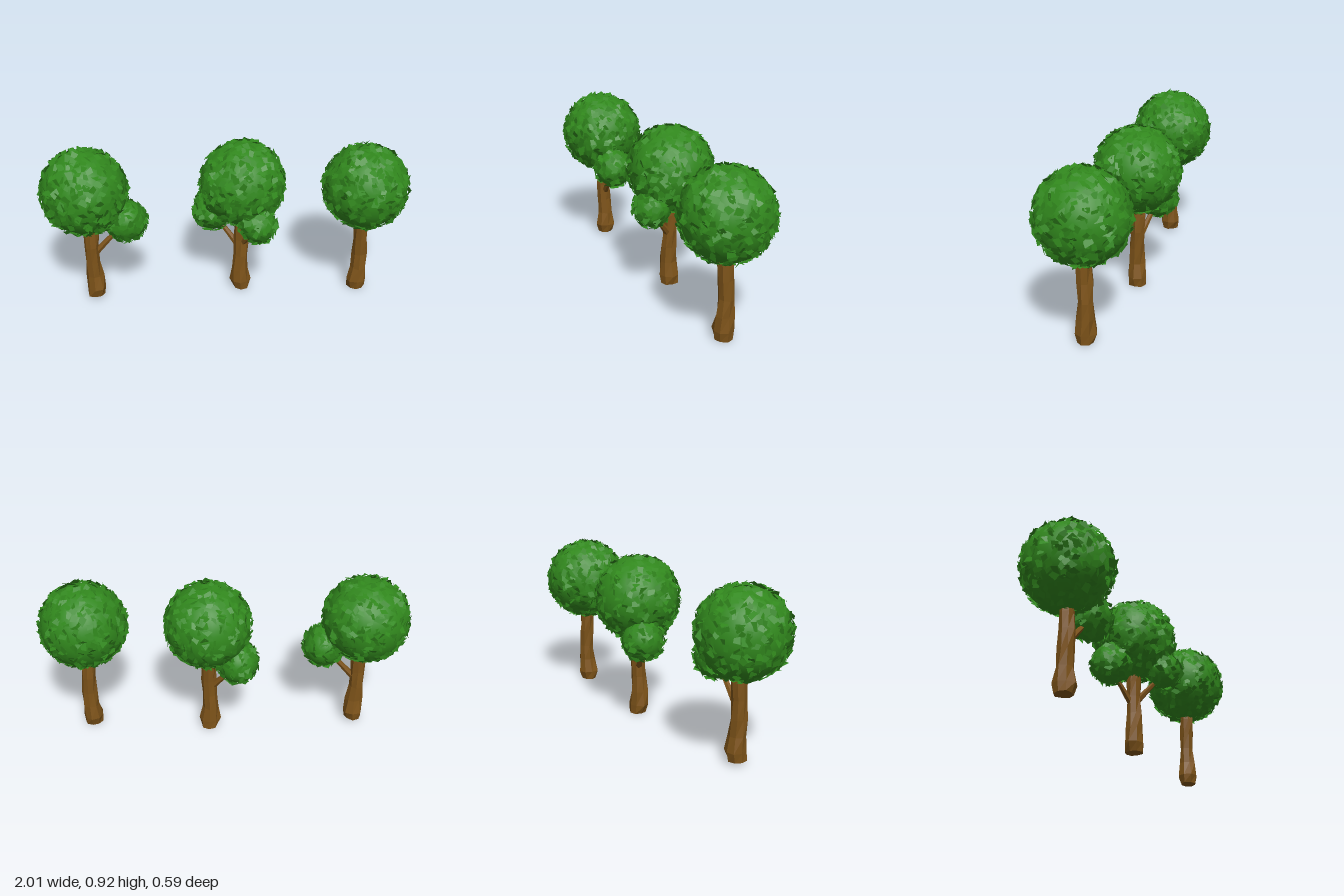
import * as THREE from 'three';
import { mergeGeometries } from 'three/addons/utils/BufferGeometryUtils.js';

const bark = new THREE.MeshStandardMaterial({ color: 0x7d5319, flatShading: true });
const green = new THREE.MeshStandardMaterial({ color: 0x31881d });
const leafGreen = new THREE.MeshStandardMaterial({ color: 0x31881d, flatShading: true, side: THREE.DoubleSide });

// Small seeded generator
function seeded(seed) {
  let s = seed;
  return () => (s = (s * 16807) % 2147483647) / 2147483647;
}

// Gnarled trunk: rings of a cylinder resized by a profile, then dented by a wave rule
function makeTrunk(base, seed) {
  const levels = [0, 0.05, 0.13, 0.22, 0.32, 0.41, 0.5];
  const radii = [0.047, 0.056, 0.046, 0.041, 0.04, 0.04, 0.036];
  const geo = new THREE.CylinderGeometry(1, 1, 6, 8, 6);
  const p = geo.attributes.position;
  for (let i = 0; i < p.count; i++) {
    const ring = Math.round(p.getY(i) + 3);
    const x = p.getX(i), z = p.getZ(i);
    const dent = 1 + 0.1 * Math.sin(3.1 * x + 5.3 * z + ring * 2.3 + seed);
    const r = radii[ring] * dent;
    const bend = 0.004 * Math.sin(ring * 1.3 + seed);
    p.setXYZ(i, x * r + bend, levels[ring], z * r - bend);
  }
  const mesh = new THREE.Mesh(geo, bark);
  mesh.name = 'trunk';
  mesh.position.set(...base);
  return mesh;
}

// Tapered branch between two points
function makeBranch(from, to) {
  const a = new THREE.Vector3(...from), b = new THREE.Vector3(...to);
  const dir = b.clone().sub(a);
  const geo = new THREE.CylinderGeometry(0.011, 0.02, dir.length(), 6, 2);
  const mesh = new THREE.Mesh(geo, bark);
  mesh.name = 'branch';
  mesh.position.copy(a).lerp(b, 0.5);
  mesh.quaternion.setFromUnitVectors(new THREE.Vector3(0, 1, 0), dir.normalize());
  return mesh;
}

// Irregular four-cornered leaf
function leafGeometry() {
  const s = new THREE.Shape();
  s.moveTo(-0.023, -0.013);
  s.lineTo(0.017, -0.018);
  s.lineTo(0.024, 0.016);
  s.lineTo(-0.014, 0.012);
  s.closePath();
  return new THREE.ShapeGeometry(s);
}

// Smooth ball covered with tilted leaves spread on a spiral
function makeFoliage(name, centre, radius, seed) {
  const group = new THREE.Group();
  group.name = name;
  group.position.set(...centre);
  const core = new THREE.Mesh(new THREE.SphereGeometry(radius, 32, 24), green);
  core.name = 'foliageCore';

  const rand = seeded(seed);
  const count = Math.round(10500 * radius * radius);
  const leaf = leafGeometry();
  const dummy = new THREE.Object3D();
  const leaves = [];
  for (let i = 0; i < count; i++) {
    const y = 1 - (2 * (i + 0.5)) / count;
    const r = Math.sqrt(1 - y * y), a = i * 2.39996 + rand() * 0.3;
    const n = new THREE.Vector3(r * Math.cos(a), y, r * Math.sin(a));
    dummy.position.set(0, 0, 0);
    dummy.lookAt(n);
    dummy.rotateZ(rand() * Math.PI * 2);
    dummy.rotateX((rand() - 0.5) * 1.1);
    dummy.rotateY((rand() - 0.5) * 1.1);
    dummy.scale.setScalar(0.75 + rand() * 0.4);
    // The leaf shell sits slightly forward of the core
    dummy.position.copy(n).multiplyScalar(radius + 0.002 + rand() * 0.005);
    dummy.position.z += 0.004;
    dummy.updateMatrix();
    leaves.push(leaf.clone().applyMatrix4(dummy.matrix));
  }
  const shell = new THREE.Mesh(mergeGeometries(leaves), leafGreen);
  shell.name = 'leaves';
  group.add(core, shell);
  return group;
}

const trees = [
  {
    name: 'leftTree', base: [-0.742, 0.015, 0.052], crown: [-0.757, 0.67, 0.05],
    limbs: [{ from: [-0.735, 0.28, 0.052], to: [-0.58, 0.45, 0.05], ball: [-0.545, 0.495, 0.05], r: 0.11 }],
  },
  {
    name: 'middleTree', base: [0.08, 0, -0.05], crown: [0.085, 0.67, -0.055],
    limbs: [
      { from: [0.07, 0.27, -0.055], to: [-0.05, 0.42, -0.1], ball: [-0.077, 0.475, -0.11], r: 0.11 },
      { from: [0.09, 0.3, -0.04], to: [0.15, 0.43, 0.06], ball: [0.17, 0.49, 0.088], r: 0.097 },
    ],
  },
  { name: 'rightTree', base: [0.756, 0, -0.056], crown: [0.755, 0.65, -0.056], limbs: [] },
];

export function createModel() {
  const model = new THREE.Group();
  model.name = 'trees';
  trees.forEach((t, i) => {
    const tree = new THREE.Group();
    tree.name = t.name;
    tree.add(makeTrunk(t.base, i * 2.1), makeFoliage('crown', t.crown, 0.227, 11 + i * 97));
    t.limbs.forEach((l, j) => {
      tree.add(makeBranch(l.from, l.to), makeFoliage('sideFoliage', l.ball, l.r, 501 + i * 31 + j * 7));
    });
    model.add(tree);
  });
  return model;
}
